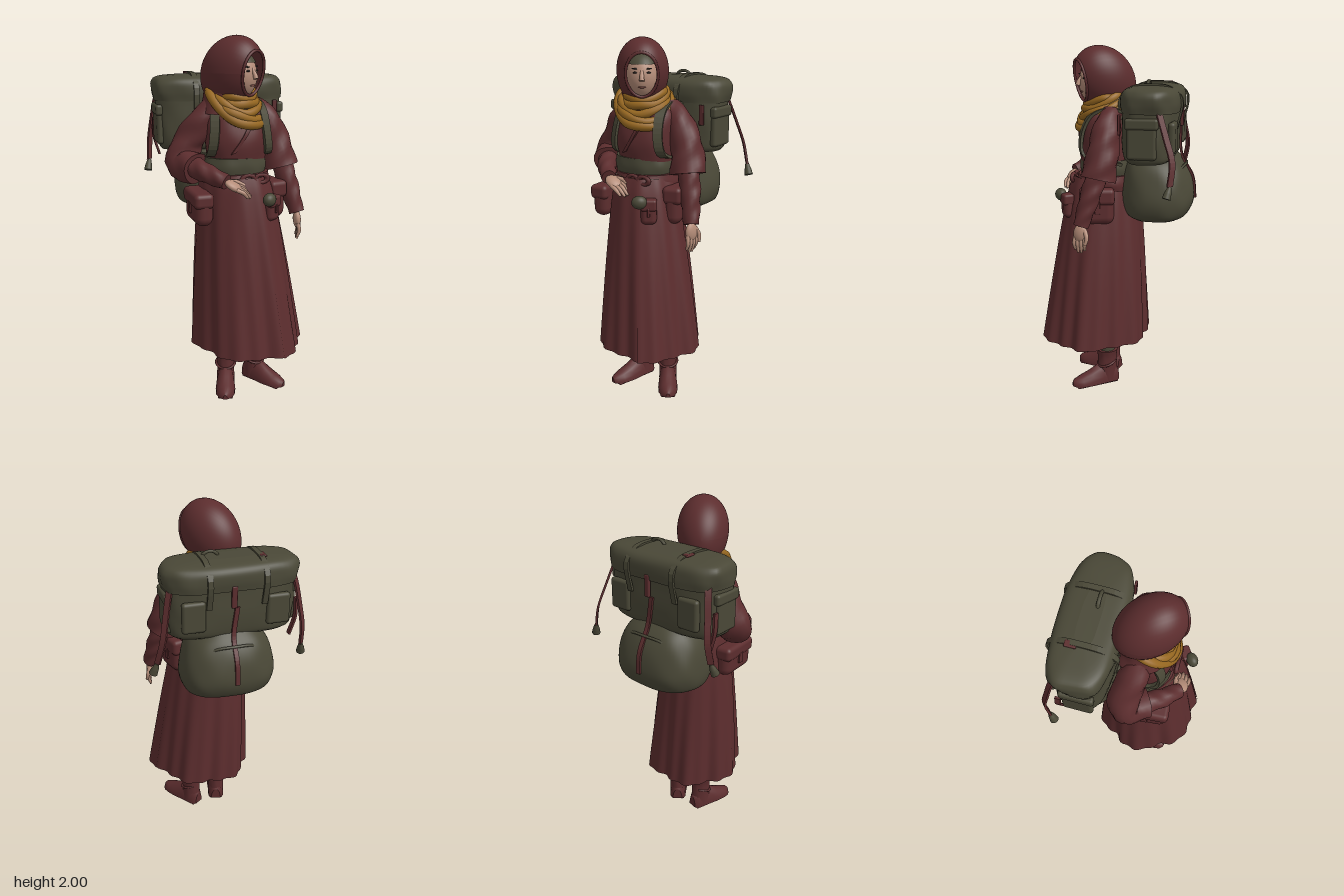
import * as THREE from 'three';
import { RoundedBoxGeometry } from 'three/addons/geometries/RoundedBoxGeometry.js';

const V = (x, y, z) => new THREE.Vector3(x, y, z);
const YAW = -0.69; // the body and pack are turned to the model's right

function makeMaterial(name, color) {
  const m = new THREE.MeshStandardMaterial({ color, side: THREE.DoubleSide });
  m.name = name;
  return m;
}

// Surface through equal-length cross-sections
function skin(rings, { closed = true, caps = true } = {}) {
  let all = rings;
  if (caps) {
    const middle = r => { const c = r.reduce((s, p) => s.add(p), V(0, 0, 0)).divideScalar(r.length); return r.map(() => c); };
    const first = rings[0], last = rings[rings.length - 1];
    all = [middle(first), first, ...rings, last, middle(last)];
  }
  const n = all[0].length, pos = [], idx = [];
  all.forEach(r => r.forEach(p => pos.push(p.x, p.y, p.z)));
  for (let i = 0; i < all.length - 1; i++) for (let j = 0; j < (closed ? n : n - 1); j++) {
    const k = (j + 1) % n, a = i * n + j, b = a + n, c = i * n + k, d = c + n;
    idx.push(a, b, c, c, b, d);
  }
  const g = new THREE.BufferGeometry();
  g.setAttribute('position', new THREE.Float32BufferAttribute(pos, 3));
  g.setIndex(idx);
  g.computeVertexNormals();
  return g;
}

// Upright loft; rows are [y, centreX, centreZ, radiusX, radiusZ]
function loft(rows, power = 2, wrinkle = 0) {
  const curve = new THREE.CubicInterpolant(rows.map((_, i) => i), new Float32Array(rows.flat()), 5);
  const rings = [], steps = (rows.length - 1) * 5;
  for (let i = 0; i <= steps; i++) {
    const [y, cx, cz, rx, rz] = curve.evaluate(i / 5), ring = [];
    for (let j = 0; j < 56; j++) {
      const a = j / 56 * Math.PI * 2, c = Math.cos(a), s = Math.sin(a);
      const f = 1 + wrinkle * (Math.sin(a * 5 + y * 23) + 0.6 * Math.sin(a * 9 - y * 31));
      ring.push(V(cx + Math.sign(c) * Math.abs(c) ** (2 / power) * rx * f, y,
        cz + Math.sign(s) * Math.abs(s) ** (2 / power) * rz * f));
    }
    rings.push(ring);
  }
  return skin(rings);
}

// Round limb of changing radius along a path
function limb(pts, radii, wrinkle = 0) {
  const curve = new THREE.CatmullRomCurve3(pts), steps = 20, f = curve.computeFrenetFrames(steps);
  const rings = [];
  for (let i = 0; i <= steps; i++) {
    const t = i / steps, q = t * (radii.length - 1), k = Math.min(Math.floor(q), radii.length - 2);
    const r = THREE.MathUtils.lerp(radii[k], radii[k + 1], q - k), p = curve.getPointAt(t), ring = [];
    for (let j = 0; j < 18; j++) {
      const a = j / 18 * Math.PI * 2, w = r * (1 + wrinkle * Math.sin(a * 3 + t * 17));
      ring.push(p.clone().addScaledVector(f.binormals[i], Math.cos(a) * w).addScaledVector(f.normals[i], Math.sin(a) * w));
    }
    rings.push(ring);
  }
  return skin(rings);
}

// Flat strap along a path; side is the direction of its width
function strap(pts, side, width, thick = 0.012) {
  const curve = new THREE.CatmullRomCurve3(pts), rings = [], s = side.clone().normalize();
  for (let i = 0; i <= 24; i++) {
    const p = curve.getPoint(i / 24), n = s.clone().cross(curve.getTangent(i / 24)).normalize();
    rings.push([[1, 1], [-1, 1], [-1, -1], [1, -1]].map(([a, b]) =>
      p.clone().addScaledVector(s, a * width / 2).addScaledVector(n, -b * thick / 2)));
  }
  const g = skin(rings).toNonIndexed();
  g.computeVertexNormals();
  return g;
}

export function createModel() {
  const red = makeMaterial('red cloth', 0x5c2d2e), olive = makeMaterial('olive canvas', 0x4a4837);
  const mustard = makeMaterial('mustard scarf', 0x966720), flesh = makeMaterial('skin', 0xb48c78);
  const dark = makeMaterial('dark eyes', 0x2b2320), lip = makeMaterial('lips', 0x8a564c);
  const model = new THREE.Group();
  const group = (name, x, y, z, yaw) => {
    const g = new THREE.Group(); g.name = name; g.position.set(x, y, z); g.rotation.y = yaw; model.add(g); return g;
  };
  const add = (name, geo, mat, parent = model) => {
    const m = new THREE.Mesh(geo, mat); m.name = name; parent.add(m); return m;
  };
  const ball = (name, mat, parent, p, s) => {
    const m = add(name, new THREE.SphereGeometry(1, 24, 16), mat, parent); m.position.set(...p); m.scale.set(...s); return m;
  };
  const box = (name, mat, parent, p, s, r = 0.01) => {
    const m = add(name, new RoundedBoxGeometry(...s, 3, r), mat, parent); m.position.set(...p); return m;
  };

  // Pleated skirt, its lining and the overlapping front panel
  const skirt = (from, to, n, scale, top = 1.27) => {
    const rings = [];
    for (let i = 0; i <= 24; i++) {
      const t = i / 24, h = Math.pow(t, 0.7), ring = [];
      for (let j = 0; j <= n; j++) {
        const a = from + (to - from) * j / n;
        const folds = 0.05 * Math.cos(6 * (a - 1.75)) + 0.024 * Math.sin(a * 17) - 0.05 * Math.cos(a + 0.785);
        const f = scale * (1 + t * folds + 0.012 * Math.sin(a * 11));
        ring.push(V(-0.155 + 0.024 * t + Math.cos(a) * (0.163 + 0.12 * h) * f, top + (0.3 - top) * t,
          0.1 + 0.06 * t + Math.sin(a) * (0.188 + 0.125 * h) * f));
      }
      rings.unshift(ring);
    }
    return skin(rings, { closed: false, caps: false });
  };
  add('skirt', skirt(0, Math.PI * 2, 150, 1), red);
  add('skirtLining', skirt(0, Math.PI * 2, 150, 0.98), olive);
  add('skirtFrontPanel', skirt(0.5, 1.9, 50, 1.02), red);

  // Legs and boots
  [['left', -0.04, 0.16, -0.08], ['right', -0.185, 0.06, -0.95]].forEach(([side, x, z, yaw]) => {
    const g = group(side + 'Leg', x, 0, z, yaw);
    add('trouserLeg', new THREE.CylinderGeometry(0.055, 0.045, 0.35, 20).translate(0, 0.35, 0), olive, g);
    add('bootShaft', loft([[0.02, 0, 0, 0.052, 0.062], [0.1, 0, 0, 0.05, 0.06], [0.17, 0, 0, 0.052, 0.058], [0.215, 0, 0, 0.06, 0.064]], 2, 0.012), red, g);
    add('bootStrap', new THREE.TorusGeometry(0.056, 0.007, 8, 28).rotateX(Math.PI / 2 + 0.3).translate(0, 0.13, 0.005), red, g);
    const foot = [[-0.065, 0.03, 0.07], [-0.04, 0.05, 0.12], [0.04, 0.052, 0.12], [0.11, 0.057, 0.08], [0.17, 0.053, 0.055], [0.21, 0.035, 0.04], [0.225, 0.012, 0.025]];
    add('bootFoot', skin(foot.map(([fz, w, h]) => Array.from({ length: 20 }, (_, j) => {
      const a = -j / 20 * Math.PI * 2;
      return V(Math.cos(a) * w, 0.012 + Math.max(0, Math.sin(a)) * h, fz);
    }))), red, g);
    box('bootSole', red, g, [0, 0.01, 0.075], [0.085, 0.02, 0.26], 0.009);
  });

  // Torso, sash and belt
  const body = group('body', -0.14, 0, 0.1, YAW);
  add('tunic', loft([[1.18, 0, 0, 0.17, 0.15], [1.3, 0, 0, 0.155, 0.135], [1.45, 0, 0.01, 0.17, 0.145], [1.57, 0, 0, 0.175, 0.125], [1.64, 0, 0, 0.14, 0.1], [1.69, 0, 0, 0.07, 0.07]], 2.2, 0.01), red, body);
  add('sash', loft([[1.27, -0.012, 0, 0.165, 0.145], [1.32, -0.012, 0, 0.175, 0.152], [1.37, -0.012, 0, 0.168, 0.148]], 2.2, 0.012), olive, body);
  add('belt', loft([[1.2, 0, 0, 0.178, 0.172], [1.24, 0, 0, 0.184, 0.176], [1.285, 0, 0, 0.176, 0.162]], 2.1, 0.015), red, body);
  add('tunicOverlap', strap([V(0.07, 1.62, 0.1), V(0.03, 1.52, 0.148), V(-0.05, 1.4, 0.15)], V(1, 0.4, 0), 0.03), red, body);
  for (const s of [-1, 1]) {
    add(s > 0 ? 'leftShoulderStrap' : 'rightShoulderStrap', strap([V(s * 0.13, 1.62, -0.18), V(s * 0.12, 1.66, -0.04), V(s * 0.13, 1.62, 0.06),
      V(s * 0.142, 1.5, 0.112), V(s * 0.155, 1.4, 0.095), V(s * 0.17, 1.36, -0.12)], V(1, 0, -0.5 * s), 0.05, 0.016), olive, body);
    add('beltKnotLoop', new THREE.TorusGeometry(0.026, 0.012, 8, 20).scale(1.3, 0.8, 1).translate(0.06 + s * 0.035, 1.265, 0.175), red, body);
  }

  // Sleeves and forearms
  add('leftSleeve', limb([V(-0.03, 1.635, 0.12), V(0.025, 1.55, 0.18), V(0.06, 1.42, 0.225), V(0.065, 1.29, 0.26)], [0.06, 0.08, 0.088, 0.098], 0.05), red);
  add('leftForearm', limb([V(0.065, 1.33, 0.26), V(0.07, 1.2, 0.31), V(0.07, 1.04, 0.37)], [0.06, 0.055, 0.042], 0.06), red);
  add('rightSleeve', limb([V(-0.22, 1.635, 0.02), V(-0.27, 1.55, -0.03), V(-0.31, 1.43, -0.1), V(-0.345, 1.335, -0.105), V(-0.36, 1.315, 0.0)], [0.06, 0.078, 0.082, 0.092, 0.085], 0.05), red);
  add('rightForearm', limb([V(-0.355, 1.33, -0.05), V(-0.37, 1.3, 0.08), V(-0.36, 1.265, 0.2)], [0.06, 0.052, 0.04], 0.05), red);

  // Hands, fingers pointing along dir
  const hand = (name, p, dir, roll) => {
    const g = group(name, p.x, p.y, p.z, 0);
    g.quaternion.setFromUnitVectors(V(0, -1, 0), dir.normalize()).multiply(new THREE.Quaternion().setFromAxisAngle(V(0, 1, 0), roll));
    ball('palm', flesh, g, [0, -0.04, 0], [0.04, 0.052, 0.022]);
    for (let i = 0; i < 4; i++) {
      const x = (i - 1.5) * 0.019, l = 0.12 + (i % 3 ? 0.015 : 0);
      add('finger', limb([V(x, -0.06, 0), V(x * 1.1, -0.1, 0.005), V(x, -l - 0.015, -0.008)], [0.012, 0.011, 0.007]), flesh, g);
    }
    add('thumb', limb([V(0.025, -0.02, 0), V(0.045, -0.06, 0.012), V(0.04, -0.1, 0.018)], [0.014, 0.012, 0.008]), flesh, g);
  };
  hand('leftHand', V(0.07, 1.04, 0.37), V(0, -1, 0.08), 0.7);
  hand('rightHand', V(-0.36, 1.265, 0.2), V(0.6, -0.5, 0.6), 0.5);

  // Belt pouches
  const pouch = (name, p, s, yaw) => {
    const g = group(name, ...p, yaw), [w, h, d] = s, r = Math.min(w, h, d);
    box('pouchBody', red, g, [0, 0, 0], s, r * 0.45);
    box('pouchFlap', red, g, [0, h * 0.27, 0.004], [w * 1.04, h * 0.45, d * 1.08], r * 0.25);
    box('pouchTab', red, g, [0, 0, d * 0.53], [w * 0.16, h * 0.35, 0.012], 0.004);
  };
  pouch('leftPouch', [0.0, 1.125, 0.235], [0.19, 0.21, 0.1], 1.15);
  pouch('rightPouch', [-0.35, 1.11, 0.01], [0.25, 0.18, 0.1], -2.2);
  pouch('frontPouch', [-0.155, 1.11, 0.345], [0.085, 0.14, 0.06], -0.1);
  ball('smallRoundPouch', olive, model, [-0.205, 1.165, 0.365], [0.042, 0.036, 0.032]);

  // Head and face
  const head = group('head', -0.158, 0, -0.008, -0.08);
  const face = new THREE.SphereGeometry(1, 32, 24), fp = face.attributes.position;
  for (let i = 0; i < fp.count; i++) {
    const y = fp.getY(i), jaw = y < 0 ? 1 - 0.22 * y * y : 1;
    fp.setXYZ(i, fp.getX(i) * 0.09 * jaw, 1.795 + y * 0.125, 0.15 + fp.getZ(i) * 0.103);
  }
  face.computeVertexNormals();
  add('face', face, flesh, head);
  add('neck', new THREE.CylinderGeometry(0.05, 0.06, 0.16, 20).translate(0, 1.68, 0.11), flesh, head);
  add('nose', limb([V(0, 1.835, 0.24), V(0, 1.8, 0.26), V(0, 1.782, 0.266)], [0.007, 0.011, 0.014]), flesh, head);
  add('headband', new THREE.SphereGeometry(1, 28, 12, 0, Math.PI * 2, 0, 1.02).scale(0.098, 0.13, 0.11).translate(0, 1.795, 0.15), olive, head);
  for (const s of [-1, 1]) {
    ball('eye', dark, head, [s * 0.034, 1.822, 0.241], [0.014, 0.005, 0.006]);
    ball('brow', dark, head, [s * 0.035, 1.842, 0.237], [0.018, 0.004, 0.006]).rotation.z = s * 0.12;
  }
  ball('lips', lip, head, [0, 1.748, 0.242], [0.02, 0.006, 0.008]);

  // Open hood, its hem and the cowl over the shoulders
  const shape = (x, y, z) => V(x * 0.14 * (1 + 0.06 * y), 1.81 + y * 0.19, 0.102 + z * 0.182 + y * 0.035);
  const hood = new THREE.SphereGeometry(1, 40, 26, 0, Math.PI * 2, 0.63, Math.PI - 0.63).rotateX(Math.PI / 2), hp = hood.attributes.position;
  for (let i = 0; i < hp.count; i++) {
    const p = shape(hp.getX(i), hp.getY(i), hp.getZ(i)); hp.setXYZ(i, p.x, p.y, p.z);
  }
  hood.computeVertexNormals();
  add('hood', hood, red, head);
  const rim = Array.from({ length: 24 }, (_, i) => { const a = i / 24 * Math.PI * 2; return shape(Math.cos(a) * 0.6, Math.sin(a) * 0.6, 0.8); });
  add('hoodRim', new THREE.TubeGeometry(new THREE.CatmullRomCurve3(rim, true), 60, 0.008, 8, true), red, head);
  add('hoodCowl', loft([[1.6, 0, 0.06, 0.15, 0.14], [1.67, 0, 0.065, 0.125, 0.125], [1.74, 0, 0.07, 0.115, 0.128]], 2, 0.015), red, head);

  // Scarf in drooping coils, lowest at the model's right front
  for (let i = 0; i < 5; i++) {
    const r = 0.095 + 0.013 * i, pts = Array.from({ length: 24 }, (_, j) => {
      const a = j / 24 * Math.PI * 2, s = Math.sin(a - 0.5 + 0.12 * i);
      const wave = Math.sin(a * 3 + i * 2.3);
      return V(-0.155 + Math.cos(a) * (r + 0.005 * wave), 1.705 - 0.017 * i - (0.025 + 0.019 * i) * s + 0.008 * wave, 0.112 + Math.sin(a) * r * 0.92);
    });
    add('scarfCoil', new THREE.TubeGeometry(new THREE.CatmullRomCurve3(pts, true), 72, 0.025, 10, true), mustard);
  }

  // Backpack: wide upper bag, lid and rounded lower sack
  const pack = group('backpack', 0, 0, -0.13, YAW);
  add('upperBag', loft([[1.38, 0, 0, 0.325, 0.118], [1.41, 0, 0, 0.345, 0.142], [1.52, 0, 0, 0.353, 0.15], [1.68, 0, 0, 0.355, 0.15]], 3.2, 0.01), olive, pack);
  add('bagLid', loft([[1.65, 0, -0.01, 0.362, 0.162], [1.7, 0, -0.01, 0.37, 0.166], [1.75, 0, -0.01, 0.364, 0.158], [1.778, 0, -0.01, 0.32, 0.125], [1.79, 0, -0.01, 0.16, 0.05]], 3.2, 0.013), olive, pack);
  add('lowerSack', loft([[1.04, 0.02, -0.035, 0.2, 0.14], [1.07, 0.02, -0.037, 0.245, 0.18], [1.15, 0.02, -0.04, 0.263, 0.205], [1.26, 0.02, -0.035, 0.247, 0.195], [1.35, 0.02, -0.025, 0.21, 0.165], [1.42, 0.02, -0.015, 0.14, 0.11]], 2.5, 0.008), olive, pack);
  const seam = Array.from({ length: 25 }, (_, j) => { const a = Math.PI + j / 24 * Math.PI; return V(0.02 + Math.cos(a) * 0.234, 1.35 - 0.15 * Math.abs(Math.cos(a)) ** 3, -0.03 + Math.sin(a) * 0.168); });
  add('sackSeam', new THREE.TubeGeometry(new THREE.CatmullRomCurve3(seam), 50, 0.008, 6), olive, pack);
  add('sackStrap', strap([V(0.0, 1.56, -0.16), V(0.02, 1.4, -0.17), V(0.02, 1.27, -0.237), V(0.02, 1.15, -0.252)], V(1, 0, 0), 0.025), red, pack);
  for (const s of [-1, 1]) {
    add('lidStrap', strap([V(s * 0.15, 1.56, -0.155), V(s * 0.15, 1.72, -0.18), V(s * 0.15, 1.782, -0.11), V(s * 0.15, 1.793, -0.01), V(s * 0.15, 1.782, 0.09), V(s * 0.15, 1.72, 0.16), V(s * 0.15, 1.56, 0.155)], V(1, 0, 0), 0.03), olive, pack);
    box('endPocket', olive, pack, [s * 0.34, 1.5, 0.01], [0.04, 0.18, 0.16], 0.018);
    box('endPocketFlap', olive, pack, [s * 0.347, 1.6, 0.01], [0.04, 0.06, 0.18], 0.015);
    box('backPocket', olive, pack, [s * 0.23, 1.52, -0.142], [0.13, 0.17, 0.04], 0.018);
  }
  add('rightEndStrap', strap([V(-0.355, 1.54, -0.085), V(-0.355, 1.44, -0.09), V(-0.325, 1.33, -0.085)], V(0, 0, 1), 0.03), red, pack);
  box('frontTab', red, pack, [0.3, 1.59, 0.139], [0.028, 0.11, 0.014], 0.005);
  box('backBuckleTab', red, pack, [0.02, 1.62, -0.168], [0.03, 0.12, 0.02], 0.006);
  box('lidPatch', red, pack, [-0.16, 1.792, -0.06], [0.035, 0.012, 0.06], 0.005);
  add('carryHandle', new THREE.TorusGeometry(0.045, 0.01, 8, 20, Math.PI).scale(1, 0.8, 1).translate(0.1, 1.775, 0.01), olive, pack);

  // Loose straps with tassels
  const loose = (name, pts, tip, side) => {
    add(name, strap(pts, side, 0.034, 0.012), red);
    add(name + 'Tassel', limb([pts[4], pts[4].clone().lerp(tip, 0.6), tip], [0.01, 0.019, 0.024]), olive);
  };
  loose('leftLooseStrap', [V(0.29, 1.71, 0.025), V(0.325, 1.63, 0.02), V(0.365, 1.53, 0.01), V(0.41, 1.41, 0), V(0.43, 1.29, 0.025)], V(0.437, 1.23, 0.05), V(0, 0, 1));
  loose('rightLooseStrap', [V(-0.18, 1.71, -0.41), V(-0.18, 1.63, -0.44), V(-0.18, 1.53, -0.465), V(-0.18, 1.41, -0.49), V(-0.2, 1.29, -0.48)], V(-0.225, 1.23, -0.47), V(1, 0, 0));
  return model;
}
